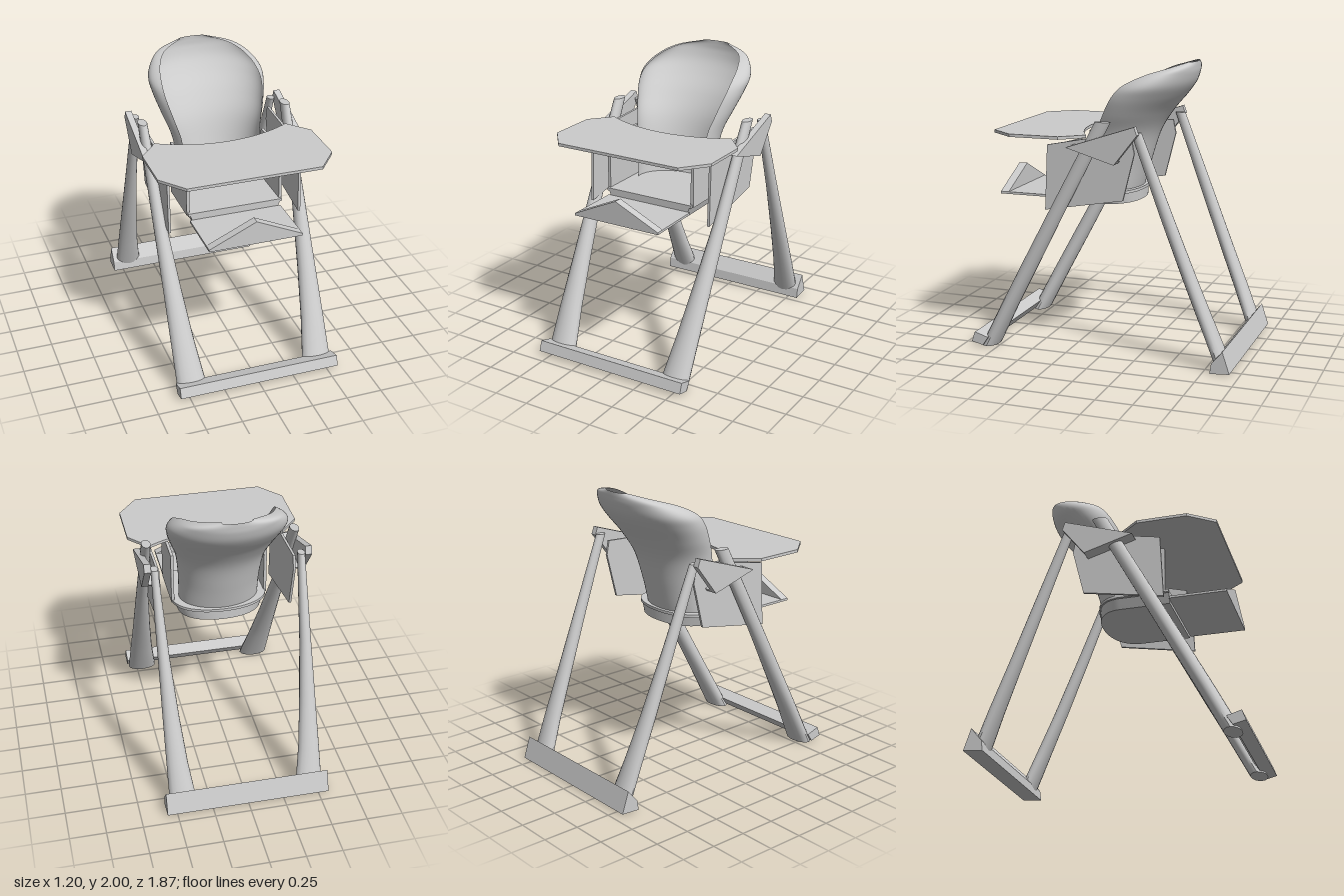
import * as THREE from 'three';
import { toCreasedNormals } from 'three/addons/utils/BufferGeometryUtils.js';

const grey = new THREE.MeshStandardMaterial({ color: 0xcccccc, side: THREE.DoubleSide });
grey.name = 'plain grey';

export function createModel() {
  const group = new THREE.Group();
  group.name = 'highChair';

  const add = (name, geometry) => {
    const mesh = new THREE.Mesh(geometry, grey);
    mesh.name = name;
    group.add(mesh);
  };
  const shapeOf = (pts) => new THREE.Shape(pts.map(([a, b]) => new THREE.Vector2(a, b)));

  // Side profile in [z, y], extruded from x0 to x1
  const sidePrism = (name, pts, x0, x1) => {
    const g = new THREE.ExtrudeGeometry(shapeOf(pts), { depth: x1 - x0, bevelEnabled: false });
    add(name, g.rotateY(-Math.PI / 2).translate(x1, 0, 0));
  };
  const pairPrism = (name, pts, x0, x1) => {
    sidePrism(name + 'Left', pts, x0, x1);
    sidePrism(name + 'Right', pts, -x1, -x0);
  };

  // Plan outline in [x, z], extruded from y0 to y1
  const planPrism = (shape, y0, y1) =>
    new THREE.ExtrudeGeometry(shape, { depth: y1 - y0, bevelEnabled: false, curveSegments: 24 })
      .rotateX(Math.PI / 2).translate(0, y1, 0);

  // Leg: oval sections [y, inner x, outer x, z centre, z radius]
  const leg = (name, rows, side) => {
    const g = new THREE.CylinderGeometry(1, 1, 1, 16, 24);
    const p = g.attributes.position;
    for (let i = 0; i < p.count; i++) {
      const t = (p.getY(i) + 0.5) * (rows.length - 1);
      const k = Math.min(Math.floor(t), rows.length - 2);
      const [y, xi, xo, zc, rz] = rows[k].map((v, j) => THREE.MathUtils.lerp(v, rows[k + 1][j], t - k));
      p.setXYZ(i, side * (xi + xo) / 2 + p.getX(i) * (xo - xi) / 2, y, zc + p.getZ(i) * rz);
    }
    add(name, toCreasedNormals(g, 0.7));
  };
  const frontRows = [
    [0, 0.35, 0.56, 0.83, 0.06], [0.3, 0.393, 0.557, 0.675, 0.06], [0.6, 0.425, 0.553, 0.515, 0.06],
    [1.0, 0.46, 0.55, 0.302, 0.057], [1.63, 0.483, 0.545, -0.035, 0.055],
  ];
  const backRows = [
    [0.03, 0.35, 0.54, -0.86, 0.05], [0.3, 0.39, 0.538, -0.755, 0.05], [0.6, 0.42, 0.535, -0.635, 0.048],
    [1.0, 0.45, 0.53, -0.48, 0.045], [1.57, 0.475, 0.525, -0.262, 0.037],
  ];
  for (const [label, side] of [['Left', 1], ['Right', -1]]) {
    leg('frontLeg' + label, frontRows, side);
    leg('backLeg' + label, backRows, side);
  }

  // Floor bars
  sidePrism('frontBar', [[0.935, 0.03], [0.91, 0.1], [0.81, 0.07], [0.85, 0.01]], -0.57, 0.57);
  sidePrism('backBar', [[-0.8, 0], [-0.81, 0.07], [-0.885, 0.16], [-0.935, 0.01]], -0.57, 0.57);

  // Hinge brackets with a lower flange
  pairPrism('hingeBracket', [[0.21, 1.455], [-0.27, 1.615], [-0.29, 1.56], [-0.13, 1.355]], 0.525, 0.57);
  pairPrism('hingeFlange', [[0.21, 1.455], [-0.13, 1.355], [-0.14, 1.37], [0.18, 1.466]], 0.47, 0.525);

  // Side panels and seat walls
  pairPrism('sidePanel',
    [[0.4, 1.0], [0.38, 1.45], [0.1, 1.505], [-0.22, 1.52], [-0.24, 1.42], [-0.16, 1.1]], 0.458, 0.475);
  pairPrism('seatWall', [[0.38, 1.1], [0.38, 1.43], [0.2, 1.48], [0.02, 1.48], [0.02, 1.1]], 0.32, 0.34);

  // Tray with a concave rear edge
  const tray = shapeOf([[-0.47, 0.1], [-0.6, 0.25], [-0.6, 0.6], [-0.46, 0.775],
    [0.46, 0.775], [0.6, 0.6], [0.6, 0.25], [0.47, 0.1]]);
  tray.quadraticCurveTo(0.25, 0.228, 0, 0.228);
  tray.quadraticCurveTo(-0.25, 0.228, -0.47, 0.1);
  add('tray', planPrism(tray, 1.51, 1.53));

  // Seat pan with a rounded back, narrowing downward, and its rim
  const seatOutline = (w, zb) => {
    const s = new THREE.Shape();
    s.moveTo(-w, 0.4);
    s.lineTo(w, 0.4);
    s.lineTo(w, 0.05);
    s.bezierCurveTo(w, -0.08, w * 0.6, zb, 0, zb);
    s.bezierCurveTo(-w * 0.6, zb, -w, -0.08, -w, 0.05);
    return s;
  };
  const pan = planPrism(seatOutline(0.32, -0.155), 1.03, 1.1);
  const pp = pan.attributes.position;
  for (let i = 0; i < pp.count; i++) {
    if (pp.getY(i) < 1.06) pp.setX(i, pp.getX(i) * 0.92);
  }
  pan.computeVertexNormals();
  add('seatPan', toCreasedNormals(pan, 0.6));
  add('seatRim', toCreasedNormals(planPrism(seatOutline(0.335, -0.165), 1.1, 1.12), 0.6));

  // Footrest with a peaked front lip
  const plate = new THREE.BoxGeometry(0.65, 0.016, 0.4);
  add('footrest', plate.translate(0, 1.063, 0.6));
  const lip = new THREE.ExtrudeGeometry(shapeOf([[-0.325, 1.07], [0.325, 1.07], [0, 1.22]]),
    { depth: 0.06, bevelEnabled: false });
  add('footrestLip', lip.translate(0, 0, 0.74));

  // Backrest shell: curved sections [y, half width, back z, front z, sweep in degrees]
  const sections = [
    [1.11, 0.28, -0.14, 0.1, 100], [1.3, 0.285, -0.195, 0.1, 105], [1.5, 0.31, -0.26, 0.1, 117],
    [1.65, 0.36, -0.35, 0.04, 120], [1.77, 0.395, -0.45, -0.03, 120], [1.85, 0.4, -0.505, -0.11, 120],
    [1.92, 0.35, -0.53, -0.25, 115], [1.965, 0.265, -0.535, -0.39, 112], [2.0, 0.1, -0.535, -0.5, 105],
  ];
  const bodyCurve = new THREE.CatmullRomCurve3(
    sections.map(([y, w, zb]) => new THREE.Vector3(w, y, zb)), false, 'catmullrom');
  const edgeCurve = new THREE.CatmullRomCurve3(
    sections.map((s) => new THREE.Vector3(s[3], s[4] * Math.PI / 180, 0)), false, 'catmullrom');
  const rows = 48, cols = 40, verts = [], index = [];
  for (let r = 0; r <= rows; r++) {
    const b = bodyCurve.getPoint(r / rows), e = edgeCurve.getPoint(r / rows);
    for (let c = 0; c <= cols; c++) {
      const a = (c / cols * 2 - 1) * e.y;
      const f = (1 - Math.cos(a)) / (1 - Math.cos(e.y));
      verts.push(b.x * Math.sin(a), Math.min(b.y, 2), b.z + (e.x - b.z) * f);
      if (r < rows && c < cols) {
        const i = r * (cols + 1) + c, j = i + cols + 1;
        index.push(i, j, i + 1, i + 1, j, j + 1);
      }
    }
  }
  const shell = new THREE.BufferGeometry();
  shell.setAttribute('position', new THREE.Float32BufferAttribute(verts, 3));
  shell.setIndex(index);
  shell.computeVertexNormals();
  add('backrestShell', shell);

  return group;
}
